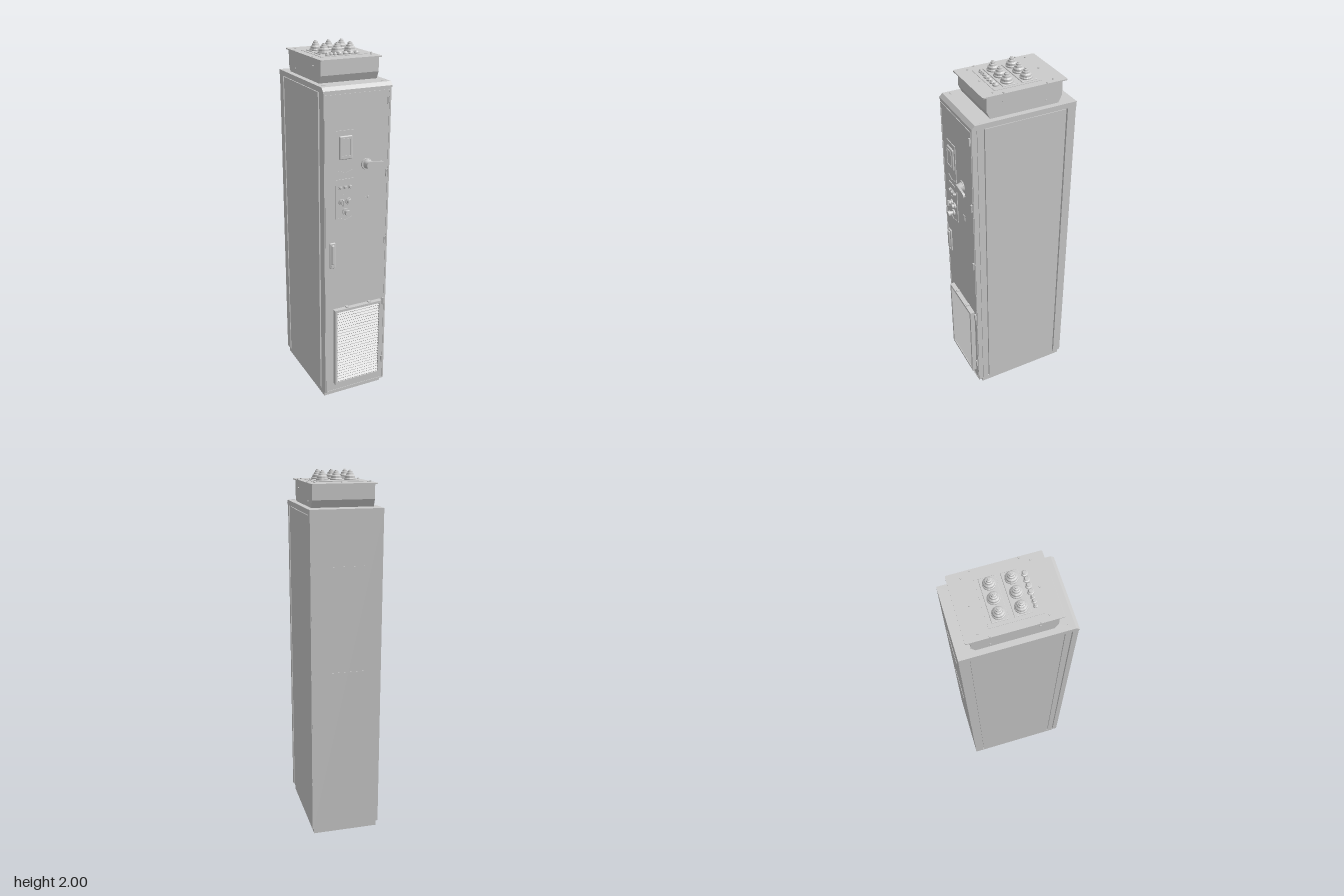
import * as THREE from 'three';
import { RoundedBoxGeometry } from 'three/addons/geometries/RoundedBoxGeometry.js';
import { toCreasedNormals } from 'three/addons/utils/BufferGeometryUtils.js';

const grey = new THREE.MeshStandardMaterial({ color: 0xcccccc });

export function createModel() {
  const root = new THREE.Group();
  const add = (name, geo, x = 0, y = 0, z = 0) => {
    const m = new THREE.Mesh(geo, grey);
    m.name = name;
    m.position.set(x, y, z);
    root.add(m);
    return m;
  };
  // Box given by its min and max on each axis
  const box = (name, x0, x1, y0, y1, z0, z1) =>
    add(name, new THREE.BoxGeometry(x1 - x0, y1 - y0, z1 - z0), (x0 + x1) / 2, (y0 + y1) / 2, (z0 + z1) / 2);
  // Cylinder pointing out of the door
  const knob = (name, r0, r1, x, y, z0, z1, n = 24) =>
    add(name, new THREE.CylinderGeometry(r1, r0, z1 - z0, n).rotateX(Math.PI / 2), x, y, (z0 + z1) / 2);
  const shapeOf = pts => new THREE.Shape(pts.map(p => new THREE.Vector2(...p)));
  const extrude = (shape, depth) => new THREE.ExtrudeGeometry(shape, { depth, bevelEnabled: false, curveSegments: 8 });
  // (z, y) side profile swept across the width
  const sweep = (name, pts, w) =>
    add(name, extrude(shapeOf(pts), w).rotateY(-Math.PI / 2).translate(w / 2, 0, 0));
  // Rectangular frame facing +z
  const frame = (x0, x1, y0, y1, t, depth) => {
    const s = shapeOf([[x0, y0], [x1, y0], [x1, y1], [x0, y1]]);
    s.holes.push(shapeOf([[x0 + t, y0 + t], [x0 + t, y1 - t], [x1 - t, y1 - t], [x1 - t, y0 + t]]));
    return extrude(s, depth);
  };
  const turned = pts => toCreasedNormals(new THREE.LatheGeometry(pts.map(p => new THREE.Vector2(...p)), 28), 0.5);

  // Plinth: open frame under a recessed floor
  add('plinth', frame(-0.185, 0.182, -0.24, 0.3, 0.02, 0.035).rotateX(-Math.PI / 2));
  box('floorPlate', -0.18, 0.18, 0.025, 0.04, -0.29, 0.23);
  for (const s of [-1, 1]) box('floorRail', s * 0.14 - 0.01, s * 0.14 + 0.01, 0.012, 0.025, -0.2, 0.18);
  box('floorCrossRail', -0.15, 0.15, 0.012, 0.025, 0.18, 0.2);
  const floorRing = turned([[0.018, 0], [0.018, -0.018], [0.03, -0.018], [0.03, 0], [0.018, 0]].reverse());
  for (const x of [-0.08, 0, 0.08]) add('floorGland', floorRing, x, 0.025, 0.066);

  // Cabinet body with side panels and corner posts
  box('cabinetCore', -0.18, 0.18, 0.035, 1.8, -0.305, 0.235);
  for (const s of [-1, 1]) {
    const slab = (name, w, y0, y1, z0, z1) => box(name, Math.min(s * 0.17, s * w), Math.max(s * 0.17, s * w), y0, y1, z0, z1);
    slab('sidePanel', 0.191, 0.042, 1.79, -0.255, 0.198);
    slab('frontPost', 0.187, 0.035, 1.8, 0.206, 0.237);
    slab('rearPost', 0.193, 0.035, 1.8, -0.309, -0.262);
    slab('sideSill', 0.187, 0.033, 0.04, -0.262, 0.206);
  }
  box('backPanel', -0.19, 0.19, 0.035, 1.8, -0.31, -0.3);
  for (const y of [0.96, 1.53]) box('backSeam', -0.094, 0.094, y - 0.003, y + 0.003, -0.312, -0.308);

  // Roof with a sloped front edge
  sweep('roof', [[-0.31, 1.795], [0.27, 1.795], [0.27, 1.805], [0.252, 1.823], [-0.31, 1.823]], 0.39);
  for (const x of [-0.17, 0.17]) box('roofSlot', x - 0.011, x + 0.011, 1.822, 1.825, 0.217, 0.221);

  // Door with hinges
  box('door', -0.191, 0.191, 0.035, 1.795, 0.241, 0.268);
  add('doorEdge', frame(-0.187, 0.185, 0.04, 1.785, 0.006, 0.004), 0, 0, 0.267);
  for (const y of [0.175, 0.565, 0.95, 1.34, 1.73]) {
    box('hinge', 0.168, 0.182, y - 0.02, y + 0.02, 0.265, 0.278);
    add('hingePin', new THREE.CylinderGeometry(0.004, 0.004, 0.044, 10), 0.177, y, 0.276);
  }

  // Ventilation grille
  add('grilleFrame', frame(-0.14, 0.153, 0.095, 0.583, 0.014, 0.027), 0, 0, 0.267);
  const slats = 26;
  const slat = new THREE.BoxGeometry(0.268, 0.004, 0.022).rotateX(0.6);
  for (let i = 0; i < slats; i++) add('grilleSlat', slat, 0.0065, 0.118 + (i * 0.443) / (slats - 1), 0.281);
  for (const x of [-0.06, 0.08]) box('grilleClip', x - 0.008, x + 0.008, 0.58, 0.589, 0.267, 0.288);

  // Door pull
  add('handleBase', new RoundedBoxGeometry(0.034, 0.15, 0.012, 3, 0.005), -0.147, 0.915, 0.272);
  add('handleGrip', new RoundedBoxGeometry(0.018, 0.115, 0.016, 3, 0.006), -0.147, 0.922, 0.279);
  knob('handleLock', 0.009, 0.009, -0.147, 0.855, 0.27, 0.283);

  // Display and control panels, each ending in a shallow point
  const plate = (name, y0, y1) => add(name, extrude(shapeOf(
    [[-0.125, y0 + 0.02], [-0.072, y0], [-0.02, y0 + 0.02], [-0.02, y1], [-0.125, y1]]), 0.005), 0, 0, 0.267);
  const chevron = (y, t) => add('chevron', extrude(shapeOf(
    [[-0.112, y + 0.014], [-0.072, y], [-0.032, y + 0.014], [-0.032, y + 0.014 + t], [-0.072, y + t], [-0.112, y + 0.014 + t]]), 0.005), 0, 0, 0.27);
  plate('displayPlate', 1.36, 1.6);
  chevron(1.367, 0.008);
  add('displayBody', new RoundedBoxGeometry(0.074, 0.125, 0.014, 3, 0.006), -0.072, 1.51, 0.275);
  add('displayBezel', frame(-0.1, -0.044, 1.465, 1.56, 0.004, 0.004), 0, 0, 0.281);
  plate('controlPlate', 1.1, 1.34);
  chevron(1.108, 0.006);
  for (const x of [-0.1, -0.072, -0.044]) {
    knob('lampRing', 0.012, 0.012, x, 1.295, 0.27, 0.276);
    knob('lamp', 0.009, 0.007, x, 1.295, 0.276, 0.285);
  }
  for (const x of [-0.092, -0.052]) {
    knob('buttonRing', 0.019, 0.018, x, 1.215, 0.27, 0.28);
    knob('button', 0.013, 0.012, x, 1.215, 0.28, 0.293);
  }
  box('selectorGrip', -0.096, -0.088, 1.199, 1.231, 0.285, 0.301);
  box('controlLabel', -0.1, -0.08, 1.252, 1.258, 0.27, 0.274);
  knob('stopRing', 0.019, 0.018, -0.07, 1.16, 0.27, 0.28);
  knob('stopStem', 0.01, 0.01, -0.07, 1.16, 0.28, 0.295);
  knob('stopButton', 0.016, 0.016, -0.07, 1.16, 0.295, 0.311);

  // Rotary isolator handle
  knob('isolatorDisc', 0.032, 0.03, 0.053, 1.405, 0.267, 0.274, 32);
  knob('isolatorHub', 0.027, 0.019, 0.057, 1.405, 0.27, 0.296, 32);
  const lever = new THREE.Shape();
  lever.absarc(0.058, 1.405, 0.02, Math.PI / 2, Math.PI * 1.5);
  lever.absarc(0.128, 1.402, 0.016, -Math.PI / 2, Math.PI / 2);
  add('isolatorLever', toCreasedNormals(extrude(lever, 0.012), 0.6), 0, 0, 0.293);

  // Key lock
  box('keyPlate', 0.05, 0.08, 1.192, 1.224, 0.267, 0.27);
  box('keySlot', 0.062, 0.068, 1.194, 1.222, 0.27, 0.273);

  // Cable box on the roof, tapered at its foot
  sweep('cableBox', [[-0.22, 1.82], [0.155, 1.82], [0.175, 1.862], [0.175, 1.94], [-0.24, 1.94], [-0.24, 1.862]], 0.33);
  const rim = new THREE.Shape();
  const [hx, hz, r] = [0.174, 0.231, 0.008];
  rim.absarc(hx - r, hz - r, r, 0, Math.PI / 2);
  rim.absarc(-hx + r, hz - r, r, Math.PI / 2, Math.PI);
  rim.absarc(-hx + r, -hz + r, r, Math.PI, Math.PI * 1.5);
  rim.absarc(hx - r, -hz + r, r, Math.PI * 1.5, Math.PI * 2);
  add('cableBoxLid', extrude(rim, 0.006).rotateX(-Math.PI / 2), 0, 1.938, -0.033);
  const screw = new THREE.CylinderGeometry(0.005, 0.005, 0.006, 12);
  for (const s of [-1, 0, 1])
    for (const z of [-0.197, 0.132]) add('lidScrew', screw, s * 0.142, 1.945, z);
  for (const s of [-1, 1])
    for (const z of [-0.15, 0.085]) {
      add('lidScrew', screw, s * 0.168, 1.945, z);
      add('boxScrew', screw.clone().rotateZ(Math.PI / 2), s * 0.166, 1.9 - (z > 0 ? 0 : 0.05), z);
    }
  box('glandPanel', -0.132, 0.13, 1.94, 1.946, -0.145, 0.115);

  // Stepped cable glands
  const bigGland = turned([[0.032, 0], [0.032, 0.008], [0.028, 0.012], [0.027, 0.022], [0.02, 0.028],
    [0.018, 0.036], [0.013, 0.038], [0.012, 0.046], [0.007, 0.048], [0.006, 0.052], [0, 0.052]]);
  for (const z of [-0.084, 0.021]) {
    add('glandPlate', new RoundedBoxGeometry(0.226, 0.006, 0.083, 2, 0.0025), 0, 1.947, z);
    for (const x of [-0.075, 0, 0.075]) add('cableGland', bigGland, x, 1.948, z + 0.001);
  }
  const smallGland = (x, rad) => add('smallGland',
    turned([[rad, 0], [rad, 0.008], [rad * 0.75, 0.01], [rad * 0.5, 0.016], [0, 0.016]]), x, 1.945, 0.085);
  for (const x of [-0.086, -0.064, -0.042]) smallGland(x, 0.011);
  for (const x of [-0.015, 0.017, 0.049, 0.081]) smallGland(x, 0.016);

  return root;
}
